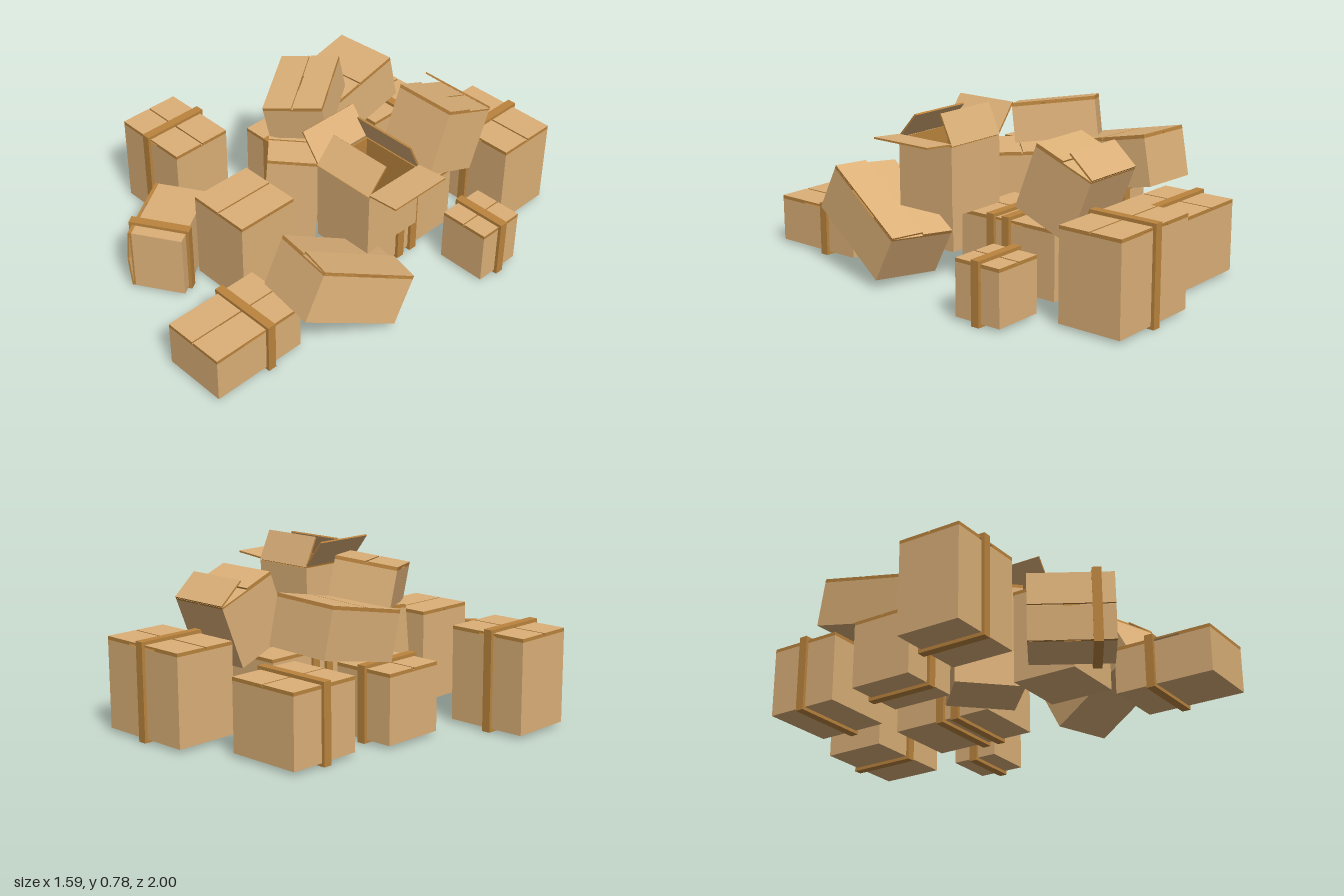
import * as THREE from 'three';

const card = new THREE.MeshStandardMaterial({ color: 0xdcb078 });
const brown = new THREE.MeshStandardMaterial({ color: 0xbb843e });
const T = 0.008;        // cardboard thickness
const STRAP = 0.015;    // strap thickness
const rad = THREE.MathUtils.degToRad;

// Face order of a box: +x, -x, +y, -y, +z, -z
const wallFaces = [card, card, brown, card, card, brown];
const flapFaces = [brown, brown, card, card, brown, brown];
const floorFaces = [brown, brown, brown, card, brown, brown];
const shut = [0, 0, 0, 0];

function add(parent, name, geometry, material) {
  const mesh = new THREE.Mesh(geometry, material);
  mesh.name = name;
  parent.add(mesh);
  return mesh;
}

function traceRect(path, x, y0, y1) {
  path.moveTo(-x, y0);
  path.lineTo(x, y0);
  path.lineTo(x, y1);
  path.lineTo(-x, y1);
  path.closePath();
  return path;
}

// A band running round the carton, across the seam
function strapGeometry(w, h) {
  const shape = traceRect(new THREE.Shape(), w / 2 + STRAP, -h - STRAP, STRAP);
  shape.holes.push(traceRect(new THREE.Path(), w / 2, -h, 0));
  return new THREE.ExtrudeGeometry(shape, { depth: 0.04, bevelEnabled: false }).translate(0, 0, -0.02);
}

// Carton hung from the centre of its top; the seam runs along its own z axis.
// turn: yaw, pitch and roll in degrees
// flaps: opening angles in degrees of the +z, +x, -z, -x flaps (0 is shut)
function carton({ name, top, size: [w, h, d], turn: [yaw, pitch, roll], flaps = shut, straps = [] }) {
  const box = new THREE.Group();
  box.name = name;
  box.position.set(...top);
  box.rotation.set(rad(pitch), rad(yaw), rad(roll), 'YXZ');

  const body = h - 2 * T;
  add(box, 'floor', new THREE.BoxGeometry(w - 2 * T, T, d - 2 * T), floorFaces).position.y = -h + T / 2;

  for (let i = 0; i < 4; i++) {
    const major = i % 2 === 1;
    const out = (major ? w : d) / 2;
    const width = major ? d : w;
    const side = new THREE.Group();
    side.name = 'side';
    side.rotation.y = i * Math.PI / 2;
    box.add(side);

    add(side, 'wall', new THREE.BoxGeometry(major ? width - 2 * T : width, body, T), wallFaces)
      .position.set(0, -2 * T - body / 2, out - T / 2);

    // major flaps meet at the seam, minor flaps fold below them
    const length = Math.min(out, w / 2) - 0.004;
    const flap = add(side, major ? 'outerFlap' : 'innerFlap',
      new THREE.BoxGeometry(width, T, length).translate(0, 0, -length / 2), flapFaces);
    flap.position.set(0, major ? -T / 2 : -1.5 * T, out);
    flap.rotation.x = rad(flaps[i]);
  }

  for (const at of straps) add(box, 'strap', strapGeometry(w, h), brown).position.z = at;
  return box;
}

// Strapped carton resting on its straps on the ground
function groundCarton({ name, x, z, size, yaw = 0, straps = [0] }) {
  return carton({ name, top: [x, size[1] + STRAP, z], size, turn: [yaw, 0, 0], straps });
}

export function createModel() {
  const pile = new THREE.Group();
  pile.name = 'cartonPile';

  // standing square on the ground
  const standing = [
    { name: 'farRightCarton', x: -0.605, z: 0.272, size: [0.295, 0.425, 0.38], yaw: 90, straps: [-0.013] },
    { name: 'frontCarton', x: 0.365, z: 0.77, size: [0.3, 0.215, 0.46], straps: [-0.055] },
    { name: 'smallCarton', x: 0.662, z: -0.435, size: [0.235, 0.25, 0.23] },
    { name: 'backCarton', x: 0.35, z: -0.838, size: [0.3, 0.41, 0.46], yaw: 90 },
    { name: 'backRightCarton', x: -0.252, z: -0.69, size: [0.355, 0.325, 0.35] },
    { name: 'middleRightCarton', x: -0.33, z: -0.21, size: [0.3, 0.31, 0.3], yaw: 90 },
    { name: 'doubleStrapCarton', x: 0.222, z: -0.272, size: [0.35, 0.31, 0.505], straps: [0, 0.082] },
    { name: 'centreCarton', x: 0.012, z: 0.395, size: [0.305, 0.425, 0.3], straps: [] },
  ];
  for (const spec of standing) pile.add(groundCarton(spec));

  // leaning, tumbled and stacked
  const tumbled = [
    { name: 'leaningCarton', top: [-0.05, 0.522, 0.028], size: [0.31, 0.505, 0.24], turn: [135, 4, 0] },
    { name: 'sidewaysCarton', top: [-0.365, 0.17, 0.67], size: [0.3, 0.246, 0.36], turn: [31.5, 0, 90],
      flaps: [0, 5, 0, 5], straps: [0.105] },
    { name: 'tumbledCarton', top: [0.525, 0.352, 0.265], size: [0.316, 0.235, 0.5], turn: [-12.8, -27, 5.1],
      flaps: [0, 5, 0, 0] },
    { name: 'topCarton', top: [-0.149, 0.734, -0.101], size: [0.271, 0.175, 0.367], turn: [33.3, 6.6, 9.2] },
    { name: 'slopingCarton', top: [-0.238, 0.605, -0.405], size: [0.43, 0.225, 0.31], turn: [91.7, -2.3, 11.5] },
    { name: 'tiltedCarton', top: [0.28, 0.635, -0.595], size: [0.3, 0.31, 0.3], turn: [90, 0, -21.5],
      flaps: [0, 20, 0, 0] },
    { name: 'openCarton', top: [0.408, 0.655, 0.04], size: [0.305, 0.315, 0.3], turn: [0, 0, 0],
      flaps: [48, 175, 65, 128] },
  ];
  for (const spec of tumbled) pile.add(carton(spec));
  return pile;
}
